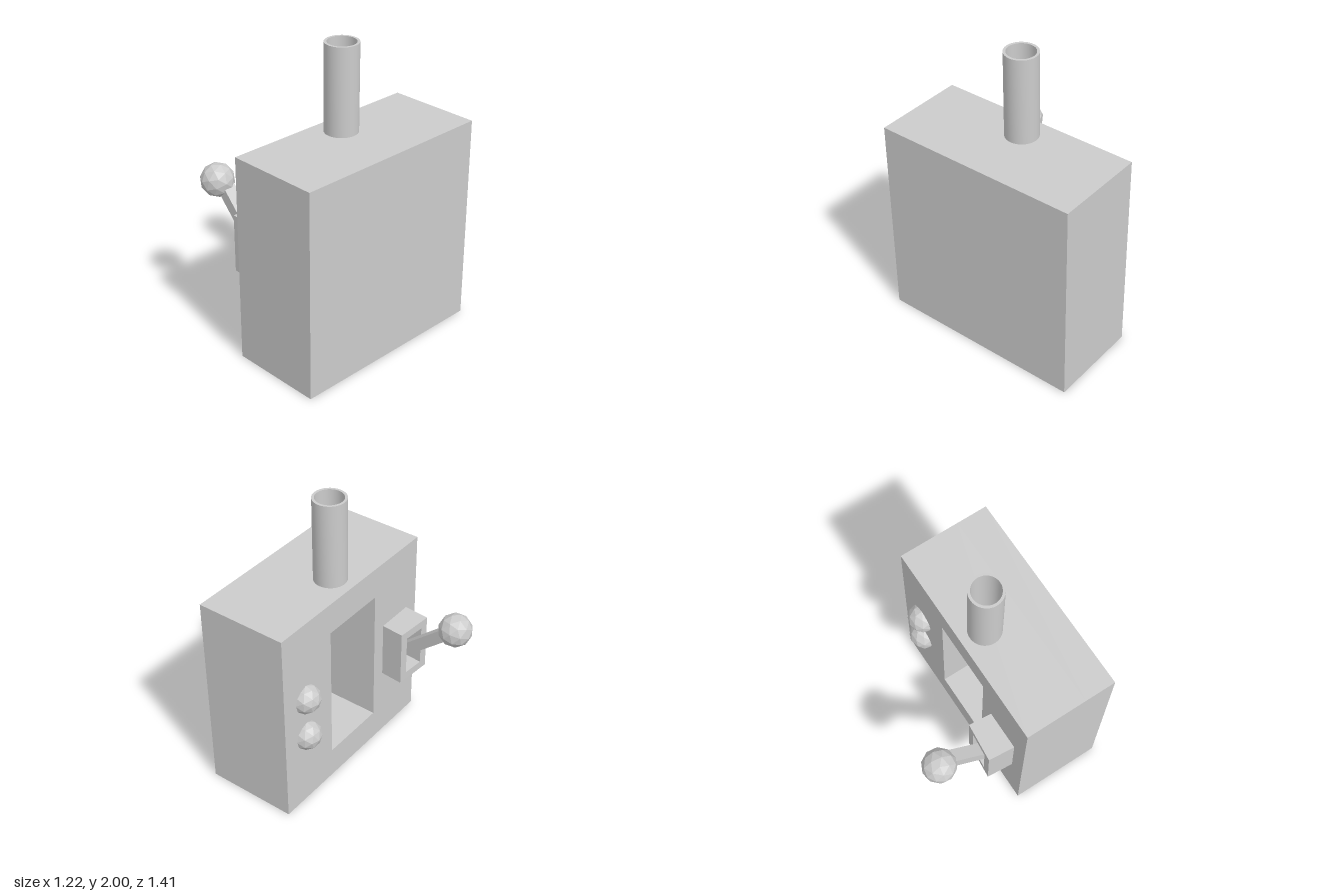
import * as THREE from 'three';
import { toCreasedNormals } from 'three/addons/utils/BufferGeometryUtils.js';

const material = new THREE.MeshStandardMaterial({ color: 0xcccccc });
const faceted = new THREE.MeshStandardMaterial({ color: 0xcccccc, flatShading: true });

function addMesh(parent, name, geometry, x, y, z, mat = material) {
  const mesh = new THREE.Mesh(geometry, mat);
  mesh.name = name;
  mesh.position.set(x, y, z);
  parent.add(mesh);
  return mesh;
}

// Counter-clockwise rectangle centred on the origin
function rectangle(path, width, height) {
  const w = width / 2, h = height / 2;
  path.moveTo(-w, -h).lineTo(w, -h).lineTo(w, h).lineTo(-w, h).closePath();
  return path;
}

// Rectangular frame spanning z and y, running from x = 0 to x = depth
function frameGeometry(width, height, holeWidth, holeHeight, depth) {
  const shape = rectangle(new THREE.Shape(), width, height);
  shape.holes.push(rectangle(new THREE.Path(), holeWidth, holeHeight));
  return new THREE.ExtrudeGeometry(shape, { depth, bevelEnabled: false }).rotateY(Math.PI / 2);
}

export function createModel() {
  const model = new THREE.Group();
  model.name = 'leverMachine';

  // Cabinet: a frame around the deep recess, closed by a solid rear slab
  const cabinet = new THREE.Group();
  cabinet.name = 'cabinet';
  model.add(cabinet);
  addMesh(cabinet, 'cabinetFrame', frameGeometry(1.41, 1.415, 0.47, 0.98, 0.42), -0.03, 0.7075, 0);
  addMesh(cabinet, 'cabinetBack', new THREE.BoxGeometry(0.215, 1.415, 1.41), 0.4975, 0.7075, 0);

  // Open chimney pipe
  const profile = [[0.11, 0], [0.11, 0.585], [0.093, 0.585], [0.093, 0]].map(([r, y]) => new THREE.Vector2(r, y));
  const pipe = toCreasedNormals(new THREE.LatheGeometry(profile, 32), 0.6);
  addMesh(model, 'chimney', pipe, 0.14, 1.415, -0.01);

  // Two knobs half sunk into the recessed side
  for (const [name, y] of [['upperKnob', 0.845], ['lowerKnob', 0.545]]) {
    addMesh(model, name, new THREE.IcosahedronGeometry(0.102, 1), -0.025, y, -0.49, faceted);
  }

  // Slotted lever housing, turned slightly
  const housing = addMesh(model, 'leverHousing', frameGeometry(0.265, 0.4, 0.15, 0.285, 0.2), -0.2, 0.71, 0.451);
  housing.rotation.y = -0.085;

  // Lever arm from the slot up to the ball
  const start = new THREE.Vector3(-0.03, 0.6, 0.48);
  const end = new THREE.Vector3(-0.48, 1.0, 0.44);
  const middle = start.clone().add(end).multiplyScalar(0.5);
  const arm = addMesh(model, 'leverArm', new THREE.BoxGeometry(0.085, 0.08, start.distanceTo(end)), ...middle);
  arm.lookAt(end);

  // Faceted ball grip
  const ball = addMesh(model, 'leverBall', new THREE.IcosahedronGeometry(0.114, 1), -0.505, 1.012, 0.464, faceted);
  ball.rotation.set(0.3, 0.2, 0.7);

  return model;
}
